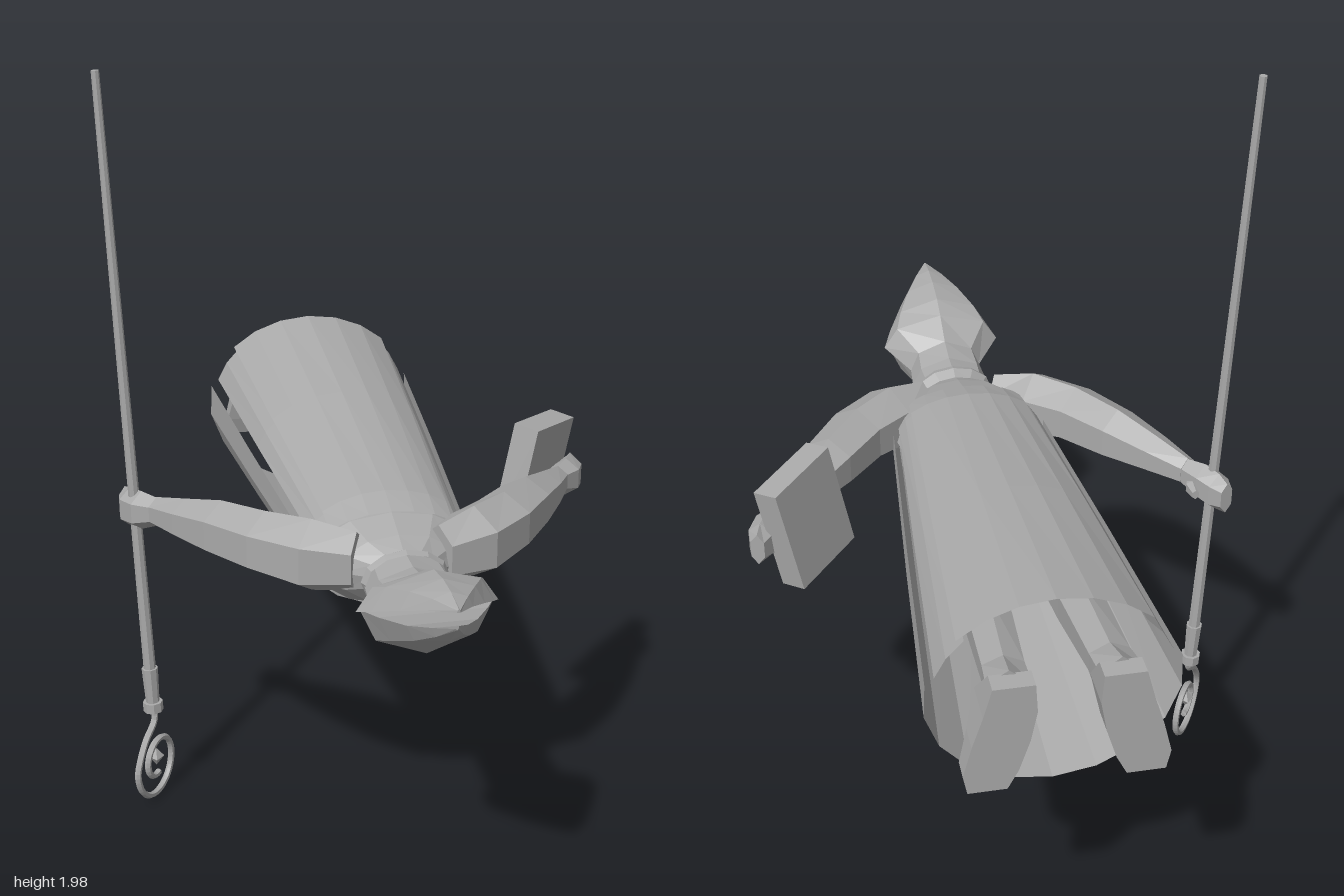
import * as THREE from 'three';

const V = (x, y, z) => new THREE.Vector3(x, y, z);
const CX = 0.012; // centre line of the figure

// Skin a list of point rings; closed joins the ring ends, caps fills both ends
function loft(rings, closed = true, caps = true) {
  const n = rings[0].length, pos = [], idx = [];
  rings.forEach(r => r.forEach(p => pos.push(p.x, p.y, p.z)));
  const m = closed ? n : n - 1;
  for (let i = 0; i < rings.length - 1; i++)
    for (let j = 0; j < m; j++) {
      const a = i * n + j, b = i * n + (j + 1) % n;
      idx.push(a, b, a + n, b, b + n, a + n);
    }
  if (caps) {
    const last = (rings.length - 1) * n;
    for (let j = 1; j < n - 1; j++) {
      idx.push(0, j + 1, j);
      idx.push(last, last + j, last + j + 1);
    }
  }
  const g = new THREE.BufferGeometry();
  g.setAttribute('position', new THREE.Float32BufferAttribute(pos, 3));
  g.setIndex(idx);
  const flat = g.toNonIndexed();
  flat.computeVertexNormals();
  return flat;
}

// Arc in the xy plane at z, with its own top and bottom heights (angles in degrees)
function arc(z, rx, mid, top, bot, a0 = 0, a1 = 330, n = 12, x = CX) {
  return Array.from({ length: n }, (_, i) => {
    const a = THREE.MathUtils.degToRad(a0 + (a1 - a0) * i / (n - 1)), s = Math.sin(a);
    return V(x + rx * Math.cos(a), mid + s * (s > 0 ? top - mid : mid - bot), z);
  });
}

// Limb along a path of [x, y, z, halfWidth, halfHeight], mirrored by side
function limb(path, side) {
  const pts = path.map(p => V(CX + side * p[0], p[1], p[2]));
  return loft(path.map((p, i) => {
    const d = pts[Math.min(i + 1, pts.length - 1)].clone().sub(pts[Math.max(i - 1, 0)]);
    const across = V(0, 1, 0).cross(d).normalize();
    return Array.from({ length: 6 }, (_, k) => {
      const a = (k + 0.5) * Math.PI / 3;
      return pts[i].clone().addScaledVector(across, Math.cos(a) * p[3])
        .add(V(0, Math.sin(a) * p[4] * 1.1, 0));
    });
  }));
}

export function createModel() {
  const group = new THREE.Group();
  const grey = new THREE.MeshStandardMaterial({ color: 0xaaaaaa, side: THREE.DoubleSide, flatShading: true });
  grey.name = 'plain grey';
  const add = (name, geo) => {
    const mesh = new THREE.Mesh(geo, grey);
    mesh.name = name;
    group.add(mesh);
    return mesh;
  };

  // Shoulders and neck
  add('torso', loft([
    arc(0.22, 0.19, 0.88, 1.0, 0.73), arc(0.33, 0.205, 0.88, 0.99, 0.75),
    arc(0.41, 0.15, 0.88, 0.965, 0.785), arc(0.46, 0.085, 0.885, 0.945, 0.825),
    arc(0.5, 0.075, 0.885, 0.945, 0.83),
  ]));

  // Open robe: back cape, front half and side panels, flaring to the hem
  const hem = [-0.83, 0.3, 0.885, 1.135, 0.62];
  const middle = [-0.3, 0.258, 0.885, 1.08, 0.667];
  const chest = [0.25, 0.21, 0.885, 1.015, 0.715];
  const neckline = [0.33, 0.205, 0.88, 0.992, 0.748];
  const robe = (a0, a1, n, k) => loft([hem, middle, chest, neckline].map(
    ([z, rx, m, t, b]) => arc(z, rx * k, m, m + (t - m) * k, m - (m - b) * k, a0, a1, n)), false, false);
  add('backCape', robe(42, 138, 7, 1));
  add('robeFront', robe(168, 372, 11, 1));
  add('leftRobePanel', robe(17, 44, 3, 0.95));
  add('rightRobePanel', robe(136, 163, 3, 0.95));

  // Hooded head with a parted front, made of two pointed shells
  const half = (z, w, rim, tip) => [0, 40, 90, 140, 180].map(d => {
    const a = d * Math.PI / 180;
    return V(CX + w * Math.cos(a), rim + (tip - rim) * Math.sin(a), z);
  });
  add('upperHead', loft([
    half(0.48, 0.1, 0.88, 0.95), half(0.56, 0.105, 0.875, 0.95), half(0.63, 0.1, 0.88, 0.965),
    half(0.705, 0.165, 0.92, 1.01), half(0.76, 0.14, 0.945, 1.035), half(0.84, 0.095, 0.982, 1.05),
    half(0.91, 0.05, 1.012, 1.052), half(0.98, 0.004, 1.036, 1.044),
  ]));
  add('lowerHead', loft([
    half(0.48, 0.095, 0.885, 0.83), half(0.56, 0.1, 0.88, 0.785), half(0.63, 0.098, 0.885, 0.785),
    half(0.705, 0.155, 0.925, 0.8), half(0.76, 0.125, 0.93, 0.835), half(0.84, 0.08, 0.945, 0.885),
    half(0.91, 0.04, 0.97, 0.935), half(0.97, 0.004, 1.0, 0.99),
  ]));

  // Collar ring and clasp
  add('collar', loft([
    arc(0.455, 0.085, 0.885, 0.945, 0.82), arc(0.485, 0.108, 0.885, 0.96, 0.81),
    arc(0.505, 0.1, 0.885, 0.955, 0.815)], true, false));
  const clasp = add('clasp', new THREE.OctahedronGeometry(0.03));
  clasp.position.set(CX, 0.785, 0.57);

  for (const side of [1, -1]) {
    const label = side > 0 ? 'left' : 'right';
    // Sleeve and arm
    add(label + 'Arm', limb([
      [0.1, 0.9, 0.4, 0.06, 0.07], [0.2, 0.905, 0.35, 0.09, 0.085], [0.3, 0.91, 0.265, 0.085, 0.075],
      [0.39, 0.905, 0.15, 0.075, 0.068], [0.47, 0.895, 0.05, 0.055, 0.05], [0.535, 0.885, -0.035, 0.033, 0.036],
    ], side));
    // Hand with thumb
    add(label + 'Hand', limb([
      [0.53, 0.885, -0.03, 0.03, 0.034], [0.57, 0.875, -0.075, 0.043, 0.048],
      [0.595, 0.868, -0.12, 0.038, 0.05], [0.607, 0.868, -0.155, 0.02, 0.04],
    ], side));
    add(label + 'Thumb', limb([
      [0.55, 0.87, -0.05, 0.018, 0.018], [0.535, 0.865, -0.085, 0.018, 0.02], [0.535, 0.865, -0.12, 0.01, 0.012],
    ], side));
    // Leg running inside the robe to the ankle
    add(label + 'Leg', limb([
      [0.1, 0.92, -0.25, 0.075, 0.085], [0.11, 0.93, -0.6, 0.06, 0.06],
      [0.12, 0.96, -0.84, 0.055, 0.042], [0.125, 0.965, -0.93, 0.058, 0.065],
    ], side));
    // Foot with the toe turned outwards
    const slab = (y, x0, x1, z0, z1) => [[x0, z0], [x1, z0], [x1, z1], [x0, z1]]
      .map(([x, z]) => V(CX + side * x, y, z));
    add(label + 'Foot', loft([
      slab(1.025, 0.075, 0.17, -0.925, -0.975), slab(0.95, 0.07, 0.19, -0.87, -0.975),
      slab(0.87, 0.085, 0.215, -0.91, -0.975), slab(0.79, 0.11, 0.235, -0.925, -0.975),
      slab(0.74, 0.135, 0.225, -0.94, -0.975),
    ]));
  }

  // Tapered staff, sleeve and ring
  const top = V(-0.618, 2, -0.1), foot = V(-0.552, 0.28, -0.088);
  const along = t => foot.clone().lerp(top, t);
  const rod = (name, t0, t1, r0, r1) => {
    const a = along(t0), b = along(t1), dir = b.clone().sub(a);
    const mesh = add(name, new THREE.CylinderGeometry(r1, r0, dir.length(), 8));
    mesh.position.copy(a).add(b).multiplyScalar(0.5);
    mesh.quaternion.setFromUnitVectors(V(0, 1, 0), dir.normalize());
  };
  rod('staff', 0, 1, 0.017, 0.01);
  rod('staffSleeve', 0.01, 0.075, 0.018, 0.022);
  rod('staffRing', 0, 0.016, 0.027, 0.027);

  // Spiral end of the staff, in a plane turned about the vertical
  const plane = (u, y) => V(-0.548 + 0.57 * u, y, -0.085 - 0.82 * u);
  const curl = [[0, 0.29], [-0.008, 0.25], [-0.06, 0.21]];
  for (let i = 0; i <= 20; i++) {
    const a = Math.PI * (0.95 + i * 0.13), r = 0.105 - i * 0.0035;
    curl.push([r * Math.cos(a), 0.122 + r * Math.sin(a)]);
  }
  const spiral = new THREE.CatmullRomCurve3(curl.map(([u, y]) => plane(u, y)));
  add('staffSpiral', new THREE.TubeGeometry(spiral, 64, 0.009, 6));
  const tip = add('spiralTip', new THREE.OctahedronGeometry(0.024));
  tip.position.copy(plane(-0.005, 0.14));
  tip.scale.set(0.9, 1.1, 1);

  // Book held in the left hand
  const book = add('book', new THREE.BoxGeometry(0.22, 0.29, 0.07));
  const bx = V(0.67, -0.13, -0.72).normalize(), by = V(0.22, 0.97, -0.03);
  const bz = bx.clone().cross(by).normalize();
  by.copy(bz).cross(bx);
  book.quaternion.setFromRotationMatrix(new THREE.Matrix4().makeBasis(bx, by, bz));
  book.position.set(0.49, 0.9, -0.075);

  return group;
}
